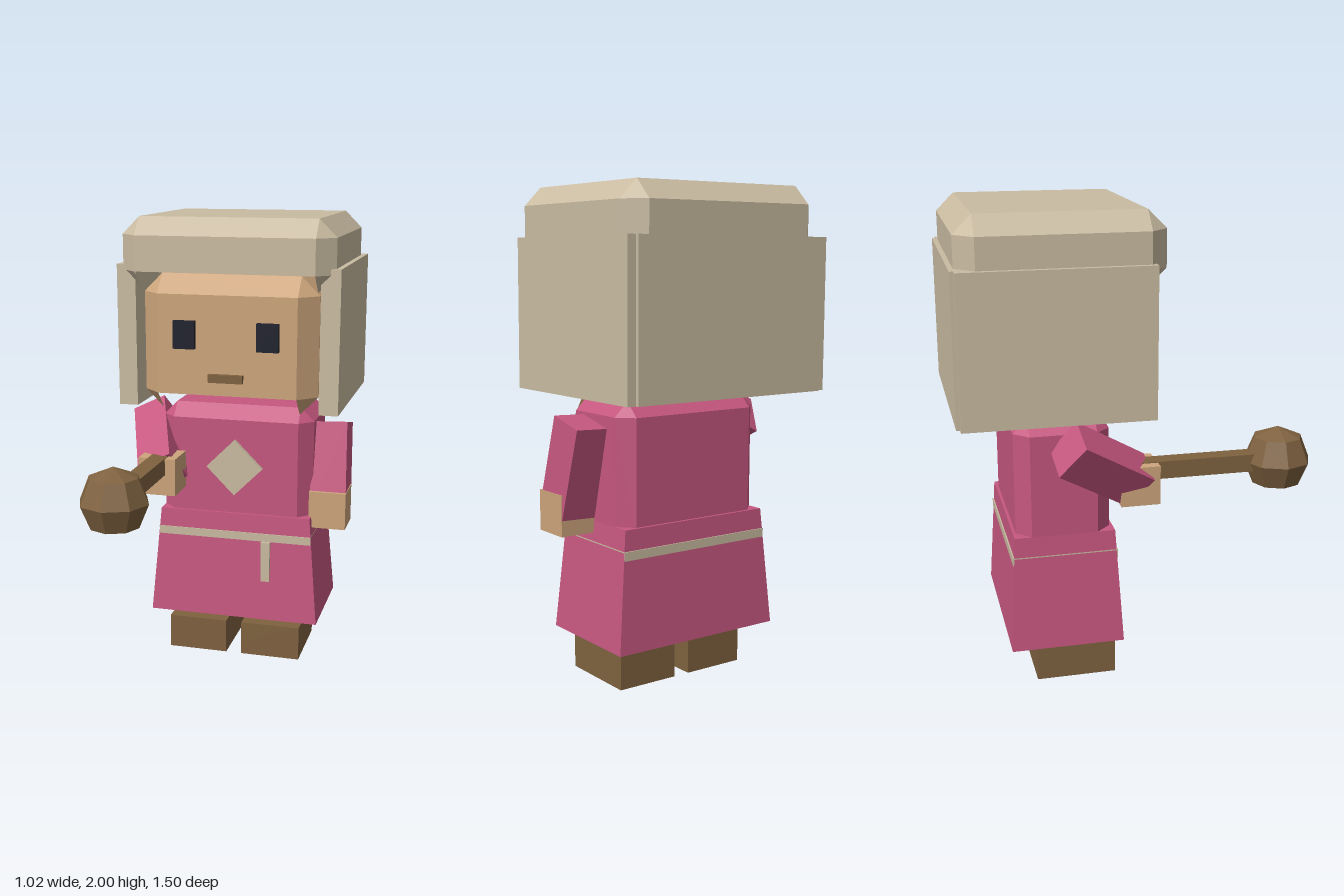
import * as THREE from 'three';

const mat = (name, color) => {
  const m = new THREE.MeshStandardMaterial({ color });
  m.name = name;
  return m;
};

// Chamfered box whose four lower edge bevels are left open
function chamferBox([x0, x1], [y0, y1], [z0, z1], c) {
  const mid = new THREE.Vector3(x0 + x1, y0 + y1, z0 + z1).multiplyScalar(0.5);
  const half = [(x1 - x0) / 2, (y1 - y0) / 2, (z1 - z0) / 2];
  const pos = [];
  // corner point lying on the face of the given axis
  const pt = (s, axis) => new THREE.Vector3(...s.map((v, i) => v * (half[i] - (i === axis ? 0 : c))));
  const tri = (a, b, d) => {
    const n = b.clone().sub(a).cross(d.clone().sub(a));
    const list = n.dot(a.clone().add(b).add(d)) > 0 ? [a, b, d] : [a, d, b];
    list.forEach((p) => pos.push(p.x + mid.x, p.y + mid.y, p.z + mid.z));
  };
  const quad = (a, b, d, e) => { tri(a, b, d); tri(a, d, e); };
  const sign = (i, a, j, b, k, d) => { const s = [0, 0, 0]; s[i] = a; s[j] = b; s[k] = d; return s; };
  for (let i = 0; i < 3; i++) {
    const j = (i + 1) % 3, k = (i + 2) % 3;
    for (const a of [-1, 1]) {
      quad(...[[-1, -1], [1, -1], [1, 1], [-1, 1]].map(([b, d]) => pt(sign(i, a, j, b, k, d), i)));
      for (const b of [-1, 1]) {
        // bevel between faces i and j
        if ((i === 1 && a < 0) || (j === 1 && b < 0)) continue;
        const lo = sign(i, a, j, b, k, -1), hi = sign(i, a, j, b, k, 1);
        quad(pt(lo, i), pt(hi, i), pt(hi, j), pt(lo, j));
      }
    }
  }
  for (const a of [-1, 1]) for (const b of [-1, 1]) for (const d of [-1, 1]) {
    const s = [a, b, d];
    tri(pt(s, 0), pt(s, 1), pt(s, 2));
  }
  const g = new THREE.BufferGeometry();
  g.setAttribute('position', new THREE.Float32BufferAttribute(pos, 3));
  g.computeVertexNormals();
  return g;
}

function flat(geometry) {
  const g = geometry.index ? geometry.toNonIndexed() : geometry;
  g.computeVertexNormals();
  return g;
}

export function createModel() {
  const model = new THREE.Group();
  model.name = 'blockFigure';
  const cloth = mat('beige cloth', 0xcabca2);
  const skin = mat('skin', 0xcda57c);
  const robe = mat('pink robe', 0xc6577f);
  const wood = mat('brown', 0x7f6240);
  const dark = mat('eye dark', 0x1e202c);

  const add = (name, geometry, material) => {
    const m = new THREE.Mesh(geometry, material);
    m.name = name;
    model.add(m);
    return m;
  };
  const box = (name, material, [x0, x1], [y0, y1], [z0, z1]) => {
    const m = add(name, new THREE.BoxGeometry(x1 - x0, y1 - y0, z1 - z0), material);
    m.position.set((x0 + x1) / 2, (y0 + y1) / 2, (z0 + z1) / 2);
    return m;
  };
  const span = (s, a, b) => (s > 0 ? [a, b] : [-b, -a]);

  // Head and hood
  add('head', chamferBox([-0.385, 0.385], [1.17, 1.76], [-0.67, 0.037], 0.08), skin);
  add('hoodTop', chamferBox([-0.46, 0.46], [1.7, 2], [-0.73, 0.09], 0.075), cloth);
  box('hoodBack', cloth, [-0.445, 0.445], [1.19, 1.8], [-0.75, -0.68]);
  box('mouth', wood, [-0.075, 0.075], [1.31, 1.345], [0.03, 0.06]);
  for (const s of [1, -1]) {
    const side = s > 0 ? 'left' : 'right';
    box(side + 'HoodSide', cloth, span(s, 0.4, 0.483), [1.19, 1.8], [-0.735, 0.035]);
    box(side + 'Eye', dark, span(s, 0.135, 0.23), [1.45, 1.57], [0.03, 0.06]);
  }

  // Torso and flared skirt
  add('torso', chamferBox([-0.345, 0.345], [0.62, 1.17], [-0.515, -0.12], 0.06), robe);
  const skirt = new THREE.BoxGeometry(0.69, 0.49, 0.42);
  const p = skirt.attributes.position;
  for (let i = 0; i < p.count; i++) {
    if (p.getY(i) < 0) p.setXYZ(i, Math.sign(p.getX(i)) * 0.388, p.getY(i), Math.sign(p.getZ(i)) * 0.2375);
  }
  add('skirt', flat(skirt), robe).position.set(0, 0.435, -0.317);

  // Belt, hanging sash and chest diamond
  box('belt', cloth, [-0.3528, 0.3528], [0.56, 0.596], [-0.537, -0.097]);
  box('sash', cloth, [0.13, 0.17], [0.375, 0.56], [-0.12, -0.08]);
  const diamond = add('chestDiamond', new THREE.BoxGeometry(0.18, 0.18, 0.03), cloth);
  diamond.position.set(0, 0.895, -0.112);
  diamond.rotation.z = Math.PI / 4;

  // Legs and shoes with hollow soles
  const rect = (T, w, d) => new T([[-w, -d], [w, -d], [w, d], [-w, d]].map(([x, y]) => new THREE.Vector2(x, y)));
  for (const s of [1, -1]) {
    const side = s > 0 ? 'left' : 'right';
    box(side + 'Leg', cloth, span(s, 0.055, 0.29), [0.12, 0.2], [-0.43, -0.2]);
    box(side + 'Shoe', wood, span(s, 0.036, 0.306), [0.06, 0.155], [-0.44, -0.1]);
    const sole = rect(THREE.Shape, 0.135, 0.17);
    sole.holes.push(rect(THREE.Path, 0.065, 0.07));
    const g = new THREE.ExtrudeGeometry(sole, { depth: 0.06, bevelEnabled: false });
    g.rotateX(-Math.PI / 2);
    add(side + 'Sole', g, wood).position.set(s * 0.171, 0, -0.27);
  }

  // Sleeves: each runs back from its hand along the given direction
  const sleeve = (name, hand, dir, across) => {
    const y = new THREE.Vector3(...dir).normalize().negate();
    const x = new THREE.Vector3(...across);
    x.addScaledVector(y, -x.dot(y)).normalize();
    const z = x.clone().cross(y);
    const m = add(name, new THREE.BoxGeometry(0.16, 0.38, 0.17), robe);
    m.quaternion.setFromRotationMatrix(new THREE.Matrix4().makeBasis(x, y, z));
    m.position.set(...hand).addScaledVector(y, 0.19);
  };
  sleeve('leftSleeve', [0.418, 0.713, -0.23], [0.015, -0.37, 0.089], [1, 0, 0]);
  sleeve('rightSleeve', [-0.305, 0.88, -0.01], [0.31, -0.51, 0.8], [0.9, 0.43, -0.07]);
  box('leftHand', skin, [0.333, 0.498], [0.63, 0.797], [-0.31, -0.146]);
  box('rightHand', skin, [-0.39, -0.222], [0.797, 0.962], [-0.09, 0.074]);

  // Mace held forward
  box('maceHandle', wood, [-0.344, -0.268], [0.89, 0.965], [0, 0.56]);
  const profile = [[0, -0.1], [0.103, -0.1], [0.145, 0], [0.103, 0.103], [0, 0.145]];
  const ball = new THREE.LatheGeometry(profile.map(([r, y]) => new THREE.Vector2(r, y)), 8);
  add('maceHead', flat(ball), wood).position.set(-0.306, 0.926, 0.605);

  return model;
}
